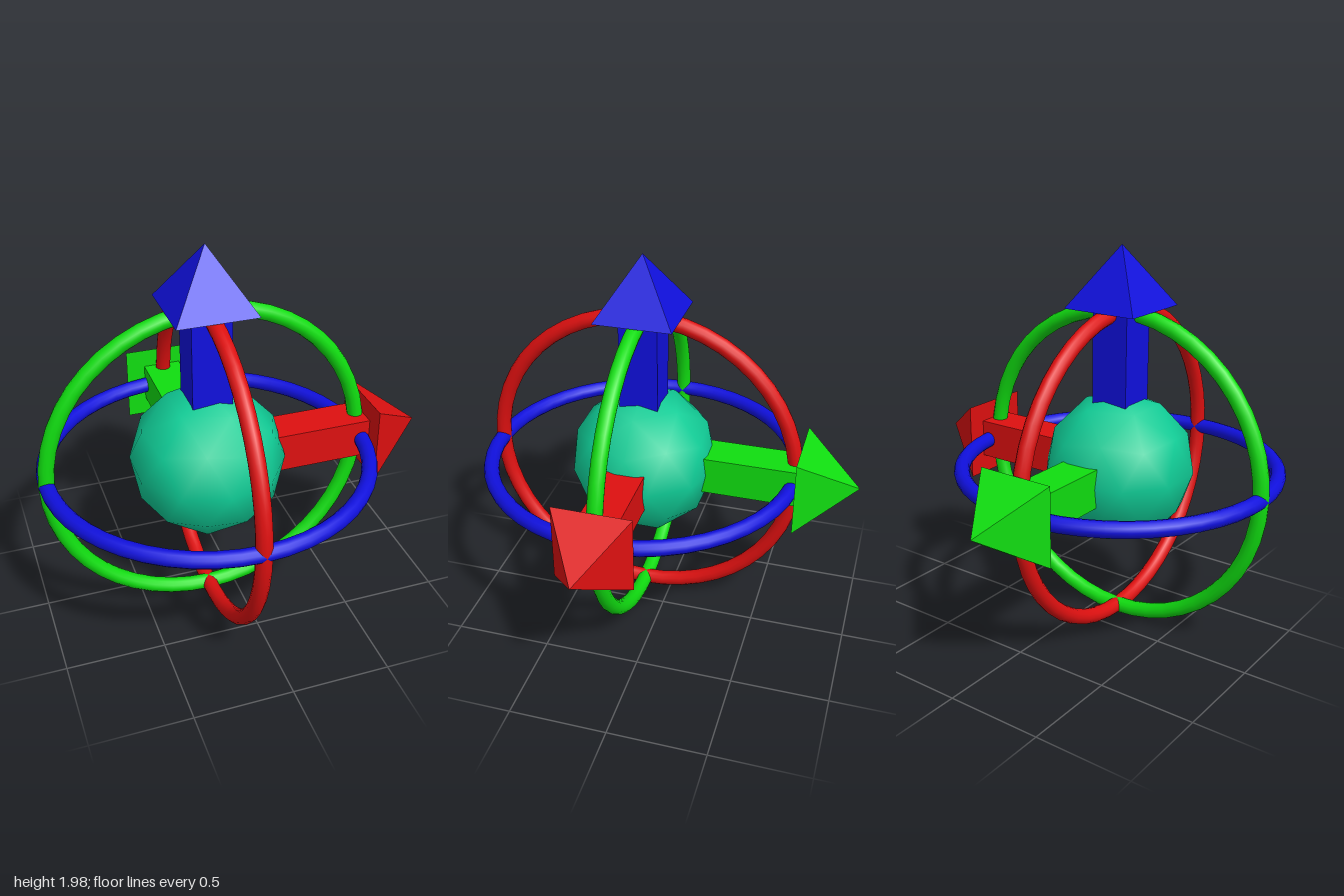
import * as THREE from 'three';

const RED = 0xdd1010, GREEN = 0x10dd10, BLUE = 0x1010dd, TEAL = 0x10cc96;
const HEAD = 0.305, HALF = 0.2, SHAFT = 0.2;

function part(name, geometry, color, flatShading = false) {
  const mesh = new THREE.Mesh(geometry, new THREE.MeshStandardMaterial({ color, flatShading }));
  mesh.name = name;
  return mesh;
}

// Square arrow pointing up +y, its pyramid head starting at the given distance
function arrow(name, color, base) {
  const group = new THREE.Group();
  group.name = name;
  const shaft = part(name + 'Shaft', new THREE.BoxGeometry(SHAFT, base, SHAFT), color, true);
  shaft.position.y = base / 2;
  const pyramid = new THREE.ConeGeometry(HALF * Math.SQRT2, HEAD, 4).rotateY(Math.PI / 4);
  const head = part(name + 'Head', pyramid, color, true);
  head.position.y = base + HEAD / 2;
  group.add(shaft, head);
  return group;
}

export function createModel() {
  const model = new THREE.Group();
  model.name = 'axisGizmo';
  const q = Math.PI / 2;

  // Faceted core ball, standing on one of its corners
  const tilt = Math.atan(2 / (1 + Math.sqrt(5)));
  model.add(part('coreBall', new THREE.IcosahedronGeometry(0.39, 1).rotateZ(-tilt), TEAL));

  // One arrow and one ring per axis; each ring lies across its rotation axis
  const axes = [
    { name: 'side', color: RED, base: 0.842, arrowTurn: [0, 0, -q], ringTurn: [0, q, 0] },
    { name: 'up', color: BLUE, base: 0.827, arrowTurn: [0, 0, 0], ringTurn: [q, 0, 0] },
    { name: 'back', color: GREEN, base: 0.833, arrowTurn: [-q, 0, 0], ringTurn: [0, 0, 0] },
  ];
  for (const { name, color, base, arrowTurn, ringTurn } of axes) {
    const pointer = arrow(name + 'Arrow', color, base);
    pointer.rotation.set(...arrowTurn);
    const ring = part(name + 'Ring', new THREE.TorusGeometry(0.808, 0.04, 12, 48), color);
    ring.rotation.set(...ringTurn);
    model.add(pointer, ring);
  }

  model.position.set(-0.15, 0.852, 0.144);
  const root = new THREE.Group();
  root.add(model);
  return root;
}
